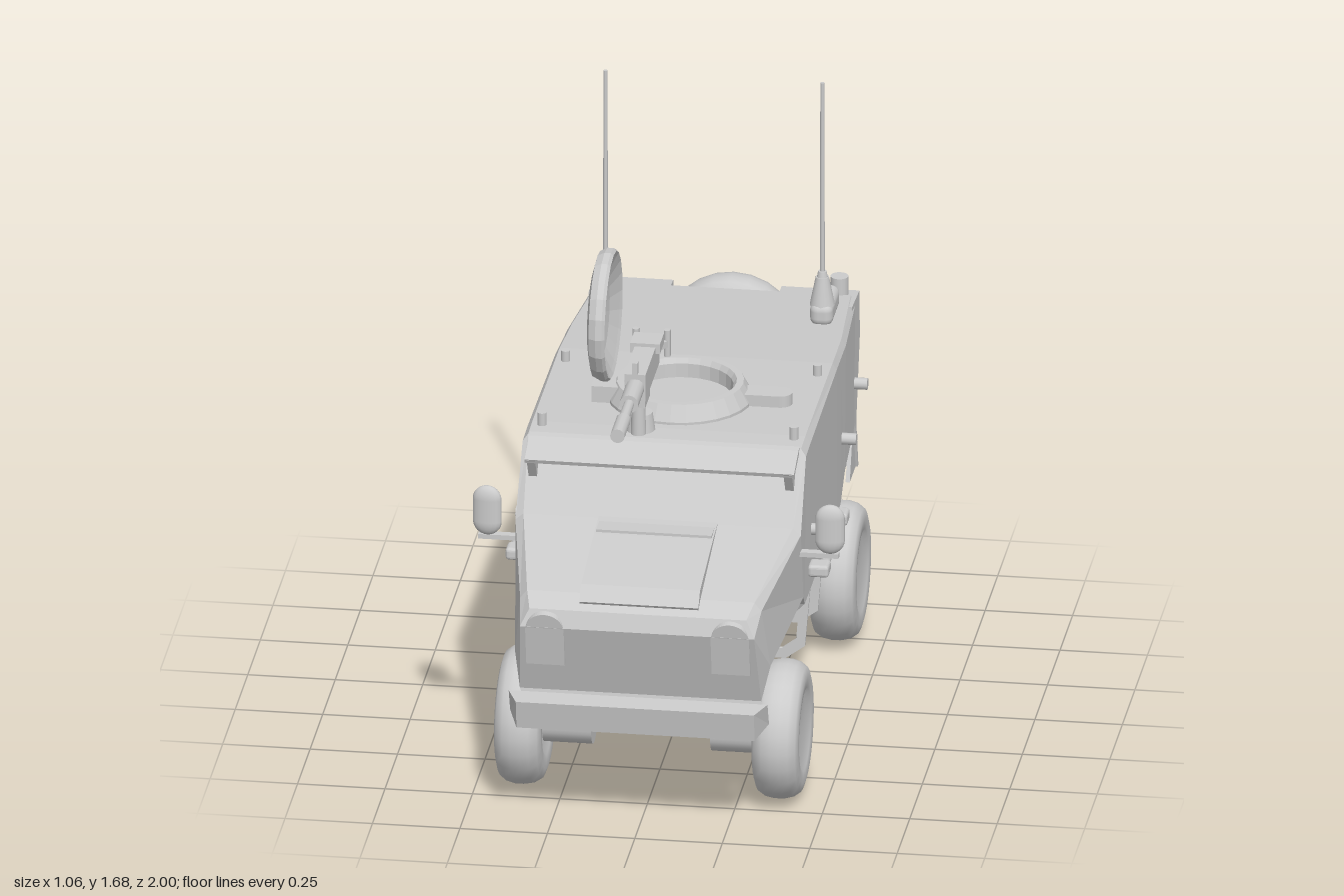
import * as THREE from 'three';
import { RoundedBoxGeometry } from 'three/addons/geometries/RoundedBoxGeometry.js';

const smooth = new THREE.MeshStandardMaterial({ color: 0xcccccc, side: THREE.DoubleSide });
const flat = new THREE.MeshStandardMaterial({ color: 0xcccccc, flatShading: true, side: THREE.DoubleSide });

// Section loft: rows run back to front, each a half outline [x, y, z] from roof to floor
function loft(rows) {
  const n = rows[0].length, ring = n * 2, pos = [], idx = [];
  for (const row of rows) {
    row.forEach(p => pos.push(...p));
    [...row].reverse().forEach(([x, y, z]) => pos.push(-x, y, z));
  }
  for (let i = 0; i < rows.length - 1; i++)
    for (let j = 0; j < ring; j++) {
      const a = i * ring + j, b = i * ring + (j + 1) % ring;
      idx.push(a, a + ring, b, b, a + ring, b + ring);
    }
  const last = (rows.length - 1) * ring;
  for (let k = 0; k < n - 1; k++) {
    const r = k, s = k + 1, l = ring - 1 - k, m = ring - 2 - k;
    idx.push(r, s, l, s, m, l);
    idx.push(last + r, last + l, last + s, last + s, last + l, last + m);
  }
  const g = new THREE.BufferGeometry();
  g.setAttribute('position', new THREE.Float32BufferAttribute(pos, 3));
  g.setIndex(idx);
  g.computeVertexNormals();
  return g;
}

// Side outline of [z, y] points, extruded across from x0 to x1
function slab(points, x0, x1) {
  const shape = new THREE.Shape(points.map(p => new THREE.Vector2(...p)));
  return new THREE.ExtrudeGeometry(shape, { depth: x1 - x0, bevelEnabled: false })
    .rotateY(-Math.PI / 2).translate(x1, 0, 0);
}

const box = (w, h, d) => new THREE.BoxGeometry(w, h, d);
const cyl = (rTop, rBottom, h, seg = 16) => new THREE.CylinderGeometry(rTop, rBottom, h, seg);
const cylX = (r, h, seg) => cyl(r, r, h, seg).rotateZ(Math.PI / 2);
const cylZ = (r, h, seg) => cyl(r, r, h, seg).rotateX(Math.PI / 2);
const lathe = (pts, seg) => new THREE.LatheGeometry(pts.map(p => new THREE.Vector2(...p)), seg);

export function createModel() {
  const model = new THREE.Group();
  model.name = 'armouredVehicle';
  const add = (name, geo, x = 0, y = 0, z = 0, mat = flat, parent = model) => {
    const m = new THREE.Mesh(geo, mat);
    m.name = name;
    m.position.set(x, y, z);
    parent.add(m);
    return m;
  };

  // Hull with raised arches over the axles and a V-shaped belly
  add('hull', loft([
    [[.36, .935, -.79], [.375, .915, -.79], [.375, .55, -.775], [.2, .55, -.775]],
    [[.385, .957, -.43], [.398, .937, -.43], [.395, .55, -.43], [.2, .55, -.43]],
    [[.388, .965, -.31], [.4, .945, -.31], [.4, .5, -.31], [.16, .49, -.31]],
    [[.39, .972, -.22], [.402, .952, -.22], [.402, .503, -.22], [.16, .23, -.22]],
    [[.39, .978, .32], [.405, .958, .32], [.405, .51, .32], [.16, .23, .32]],
    [[.39, .975, .405], [.405, .955, .412], [.405, .513, .44], [.16, .5, .44]],
    [[.385, .785, .535], [.408, .765, .535], [.405, .545, .465], [.2, .545, .465]],
    [[.325, .7, .88], [.345, .675, .88], [.365, .49, .84], [.28, .49, .84]],
    [[.31, .67, .94], [.335, .62, .957], [.345, .4, .885], [.32, .33, .9]],
  ]));
  add('bonnetPanel', slab([[.52, .79], [.63, .776], [.885, .73], [.92, .69], [.9, .66], [.52, .7]], -.17, .17));
  add('bonnetRidge', slab([[.53, .785], [.62, .785], [.62, .77], [.53, .77]], -.165, .165));
  add('windscreenVisor', slab([[.4, .98], [.42, .976], [.515, .942], [.51, .93], [.4, .965]], -.385, .385));

  // Bumper, narrower along its front edge
  const bumper = slab([[1, .405], [.935, .412], [.905, .34], [.985, .32]], -.37, .37);
  const bp = bumper.attributes.position;
  for (let i = 0; i < bp.count; i++) if (bp.getZ(i) > .95) bp.setX(i, bp.getX(i) * .92);
  add('frontBumper', bumper);

  // Tyre with a shallow dished hub, axis along x, outer face towards +x
  const wheelGeo = lathe([[0, -.045], [.1, -.05], [.115, -.064], [.155, -.067], [.18, -.058], [.195, -.035], [.2, -.01],
    [.2, .015], [.193, .04], [.178, .06], [.155, .067], [.12, .064], [.105, .05], [0, .046]], 24).rotateZ(-Math.PI / 2);

  // Arched headlamp panel
  const arch = new THREE.Shape();
  arch.moveTo(-.055, 0); arch.lineTo(.055, 0); arch.lineTo(.055, .115);
  arch.absarc(0, .115, .055, 0, Math.PI); arch.lineTo(-.055, 0);
  const lampGeo = new THREE.ExtrudeGeometry(arch, { depth: .02, bevelEnabled: false });

  // Step bracket: an open frame below the sill
  const step = new THREE.Shape([[.26, .5], [.4, .5], [.385, .32], [.33, .28], [.22, .28]].map(p => new THREE.Vector2(...p)));
  step.holes.push(new THREE.Path([[.285, .47], [.37, .47], [.36, .34], [.32, .31], [.26, .31]].map(p => new THREE.Vector2(...p))));
  const stepGeo = new THREE.ExtrudeGeometry(step, { depth: .01, bevelEnabled: false });

  // Everything fitted once per side
  for (const s of [1, -1]) {
    const side = new THREE.Group();
    side.name = s > 0 ? 'leftFittings' : 'rightFittings';
    model.add(side);
    const put = (name, geo, x, y, z, mat = flat) => add(name, geo, s * x, y, z, mat, side);

    for (const z of [.62, -.52]) {
      const w = put('wheel', wheelGeo, .368, .205, z, smooth);
      if (s < 0) w.rotation.y = Math.PI;
      put('axleHub', cylX(.07, .14, 20), .24, .2, z, smooth);
      put('suspensionStrut', cyl(.057, .057, .32, 20), .225, .4, z + .01, smooth);
    }

    // Rear corners, their lamps and mudflaps
    const x0 = s > 0 ? .155 : -.377, x1 = s > 0 ? .377 : -.155;
    add('rearCorner', slab([[-.7, .938], [-.845, .928], [-.855, .79], [-.782, .55], [-.7, .55]], x0, x1), 0, 0, 0, flat, side);
    put('rearLamp', box(.13, .06, .012), .275, .835, -.852);
    add('mudflap', slab([[-.78, .56], [-.825, .4], [-.81, .4], [-.765, .56]], x0, x1), 0, 0, 0, flat, side);
    put('mudflapGusset', slab([[-.785, .55], [-.82, .4], [-.695, .4], [-.76, .55]], -.006, .006), .365, 0, 0);
    const pipe = put('exhaustPipe', cyl(.037, .037, .12), .11, .335, -.745, smooth);
    pipe.rotation.x = 1.05;
    put('pipeBracket', box(.05, .24, .04), .11, .45, -.7);
    put('roofPost', cyl(.026, .026, .06), .325, .955, -.81, smooth);

    // Antenna on a rounded plinth
    put('antennaPlinth', new RoundedBoxGeometry(.066, .07, .17, 3, .025), .31, .975, -.62, smooth);
    put('antennaBase', cyl(.019, .036, .085), .31, 1.04, -.575, smooth);
    put('antennaTip', cyl(.012, .016, .02), .31, 1.09, -.575, smooth);
    put('antennaMast', cyl(.006, .007, .6, 8), .31, 1.38, -.575, smooth);

    // Mirror
    const mirror = put('mirror', new THREE.CapsuleGeometry(.042, .066, 6, 16).scale(1, 1, .5), .49, .785, .525, smooth);
    mirror.rotation.y = s * .1;
    put('mirrorArm', box(.13, .014, .025), .45, .705, .52);

    // Grab rail
    put('grabRail', cylX(.014, .4, 10).rotateY(Math.PI / 2), .443, .58, .15, smooth);
    for (const z of [-.04, .335]) put('railMount', new RoundedBoxGeometry(.06, .036, .06, 2, .01), .432, .58, z);

    // Bolts on flank and roof
    for (const z of [.3, -.35, -.745]) put('sideBolt', cylX(.017, .06, 12), z < -.7 ? .385 : .41, .685, z, smooth);
    for (const [z, y] of [[.34, .99], [-.13, .98]]) put('roofBolt', cyl(.013, .013, .05, 12), .36, y, z, smooth);

    put('visorBracket', slab([[.515, .94], [.41, .96], [.45, .875], [.475, .875]], -.012, .012), .367, 0, 0);
    put('headlamp', lampGeo, .265, .5, .912).rotation.x = .2;
    for (const z of [.285, .03]) {
      const b = put('stepBracket', stepGeo, 0, 0, z);
      b.scale.x = s;
    }
  }

  // Spare wheel on the tail
  add('spareWheel', wheelGeo, 0, .715, -.933, smooth).rotation.y = Math.PI / 2;
  add('spareWheelMount', box(.15, .13, .12), 0, .715, -.83);

  // Turret ring with its rounded tab
  add('turretRing', lathe([[.205, .96], [.205, .985], [.18, 1.03], [.16, 1.03], [.15, 1.015], [.148, .97]], 28), 0, 0, .09);
  const tab = new THREE.Shape();
  tab.moveTo(.17, -.035); tab.lineTo(.285, -.035);
  tab.absarc(.285, 0, .035, -Math.PI / 2, Math.PI / 2); tab.lineTo(.17, .035);
  add('ringTab', new THREE.ExtrudeGeometry(tab, { depth: .05, bevelEnabled: false }).rotateX(-Math.PI / 2), 0, .96, .09);

  // Open hatch lid, dished towards the opening
  add('hatchLid', lathe([[0, -.03], [.14, -.03], [.18, -.02], [.19, 0], [.19, .018], [.182, .026], [.17, .02],
    [.12, -.002], [.06, -.014], [0, -.018]], 20).rotateZ(-Math.PI / 2), -.216, 1.222, .1);
  add('hatchHinge', box(.12, .05, .12), -.185, 1.0, .1);

  // Machine gun on its pintle
  const gun = new THREE.Group();
  gun.name = 'machineGun';
  gun.position.set(-.08, 1.15, 0);
  model.add(gun);
  const g = (name, geo, x, y, z, mat = flat) => add(name, geo, x, y, z, mat, gun);
  g('receiver', box(.06, .08, .28), 0, 0, .3);
  g('feedCover', box(.085, .03, .08), 0, .035, .2);
  g('barrelJacket', cylZ(.027, .14, 14), 0, 0, .49, smooth);
  g('barrel', cylZ(.015, .3, 12), 0, 0, .6, smooth);
  g('muzzle', cylZ(.021, .12, 12), 0, 0, .73, smooth);
  g('frontSight', box(.015, .05, .025), 0, .05, .43);
  g('cradle', box(.05, .05, .1), 0, -.05, .36);
  g('pintlePost', cyl(.018, .022, .14), 0, -.1, .37, smooth);
  g('pintleBase', cyl(.035, .045, .07), 0, -.155, .33, smooth);
  for (const s of [1, -1]) {
    const arm = g('handleArm', box(.014, .02, .08), s * .025, 0, .14);
    arm.rotation.y = -s * .6;
    g('handGrip', cyl(.01, .01, .08, 10), s * .045, 0, .11, smooth);
  }
  return model;
}
